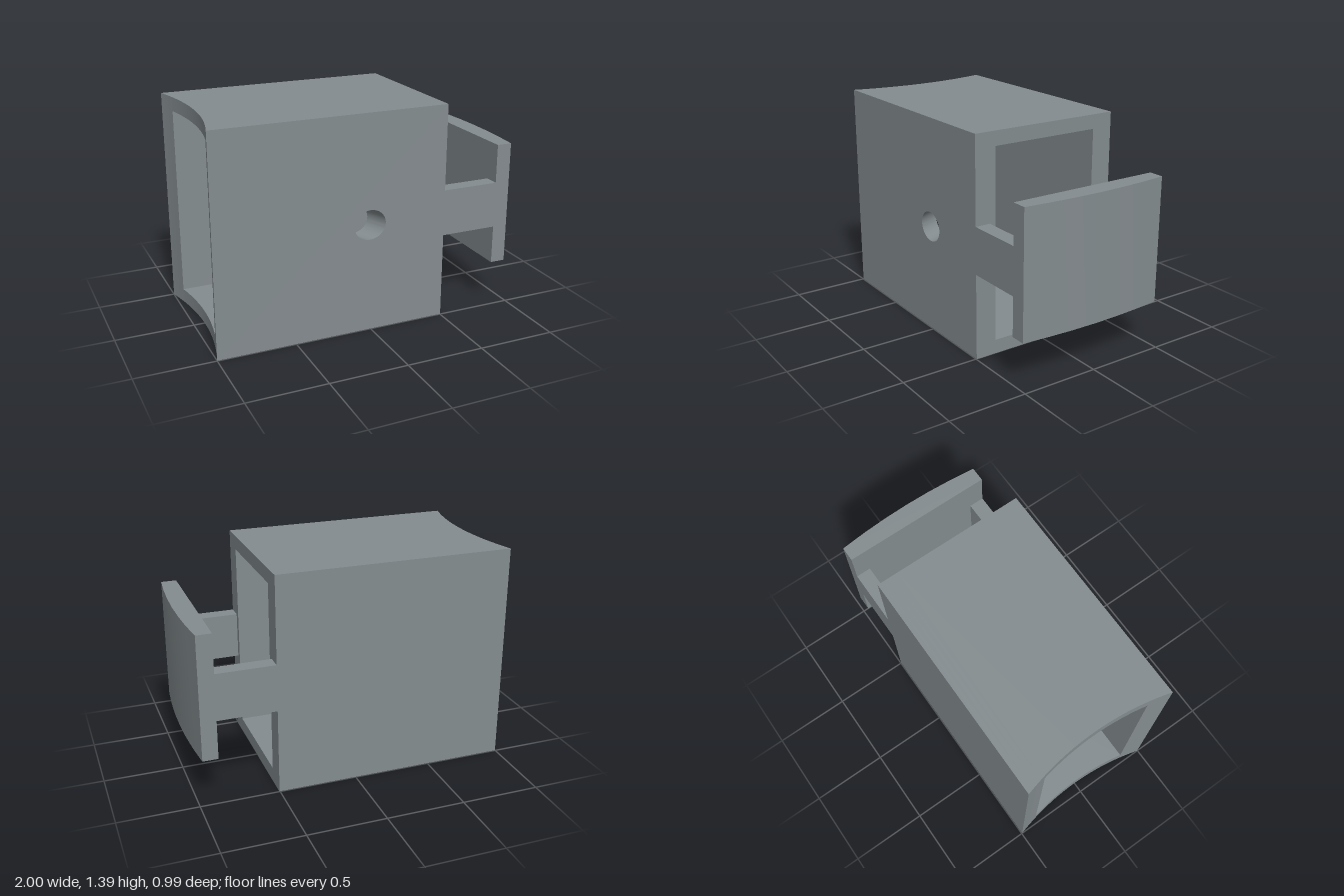
import * as THREE from 'three';
import { toCreasedNormals } from 'three/addons/utils/BufferGeometryUtils.js';

const H = 1.395, HALF = 0.497, INNER = 0.36, END = 0.503; // body height, half depth, cavity half depth, right end
const FLOOR = 0.09, CEILING = 1.305;
const HOLE = { x: -0.01, y: 0.698, rx: 0.105, ry: 0.095, slant: 0.43 };

// Circular arc in the xz plane: x at a given z, with the middle at xMid
const arcX = (z, xMid, radius) => xMid - radius + Math.sqrt(radius * radius - z * z);
const scoopX = (z) => arcX(z, -0.93, 1.8);
const bulgeX = (z) => arcX(z, 1, 4.18);

export function createModel() {
  const group = new THREE.Group();
  const material = new THREE.MeshStandardMaterial({ color: 0x848c8f });

  const add = (name, geometry) => {
    const mesh = new THREE.Mesh(toCreasedNormals(geometry, Math.PI / 6), material);
    mesh.name = name;
    group.add(mesh);
  };

  // Prism standing between two heights, bounded by a straight and a curved x side
  const slab = (name, straightX, curve, half, y0, y1, segments) => {
    const points = [new THREE.Vector2(straightX, -half), new THREE.Vector2(straightX, half)];
    for (let i = 0; i <= segments; i++) {
      const z = half - (2 * half * i) / segments;
      points.push(new THREE.Vector2(curve(z), z));
    }
    const geometry = new THREE.ExtrudeGeometry(new THREE.Shape(points), { depth: y1 - y0, bevelEnabled: false });
    geometry.rotateX(Math.PI / 2).translate(0, y1, 0);
    add(name, geometry);
  };

  // Side wall with a scooped left end and, if wanted, a slanted round hole
  const wall = (name, z0, withHole) => {
    const shape = new THREE.Shape();
    shape.moveTo(-1, 0).lineTo(END, 0).lineTo(END, H).lineTo(-1, H).closePath();
    if (withHole) {
      shape.holes.push(new THREE.Path().absellipse(HOLE.x, HOLE.y, HOLE.rx, HOLE.ry, 0, Math.PI * 2, true));
    }
    const geometry = new THREE.ExtrudeGeometry(shape, {
      depth: HALF - INNER, steps: 4, bevelEnabled: false, curveSegments: 32,
    });
    geometry.translate(0, 0, z0);
    const p = geometry.attributes.position;
    for (let i = 0; i < p.count; i++) {
      const x = p.getX(i), z = p.getZ(i);
      if (x < -0.9) p.setX(i, scoopX(z));
      else if (x < 0.3) p.setX(i, x + (z - HALF) * HOLE.slant);
    }
    add(name, geometry);
  };

  // Hollow body, open at both ends
  wall('frontWall', INNER, true);
  wall('backWall', -HALF, false);
  slab('floor', END, scoopX, INNER, 0, FLOOR, 16);
  slab('ceiling', END, scoopX, INNER, CEILING, H, 16);

  // Pair of arms carrying the end plate
  for (const [name, side] of [['frontArm', 1], ['backArm', -1]]) {
    add(name, new THREE.BoxGeometry(0.37, 0.298, 0.098).translate(0.688, 0.698, side * 0.448));
  }

  // Curved end plate
  slab('endPlate', 0.873, bulgeX, HALF, 0.3, 1.096, 6);

  return group;
}
